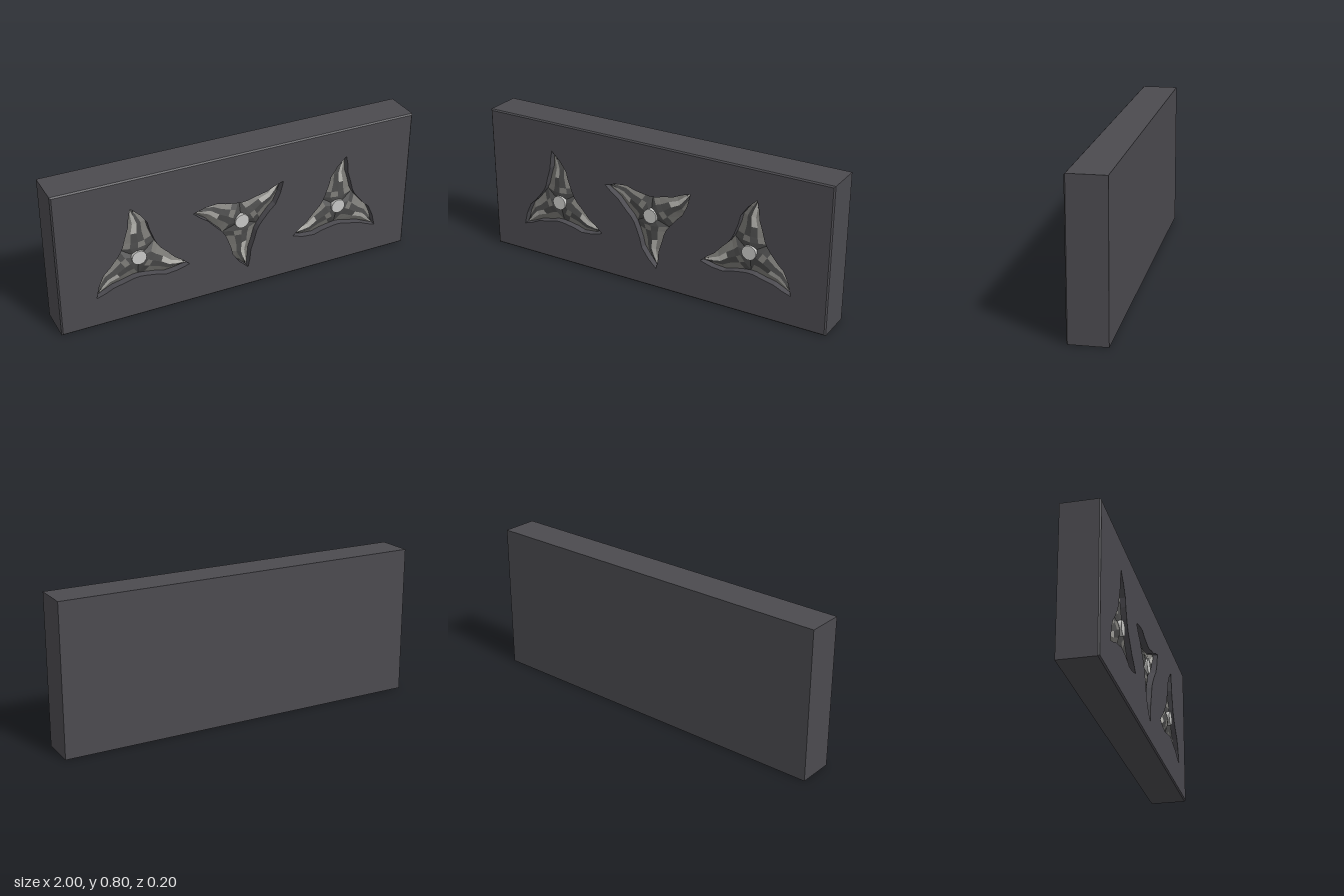
import * as THREE from 'three';

const mat = (name, color, side = THREE.FrontSide) => {
  const m = new THREE.MeshStandardMaterial({ color, side });
  m.name = name;
  return m;
};

// Blade edges from valley to tip: [radius, degrees clockwise of the tip]
const LEADING = [[0.112, -54], [0.118, -38], [0.15, -21], [0.198, -8], [0.246, -4], [0.295, 0]];
const TRAILING = [[0.112, 66], [0.121, 50], [0.158, 30], [0.198, 22], [0.246, 10], [0.295, 0]];
const ACROSS = [0, 0.28, 0.5, 0.72, 1];
const RISE = [0, 0.024, 0.032, 0.024, 0];
const FLOOR = 0.051, RIM = 0.062, FACE = 0.1;

// x, y, first tip angle, mirror sign
const STARS = [[-0.57, 0.345, 97, 1], [0, 0.405, 277, 1], [0.57, 0.345, 97, -1]];

function polar([r, a], tip, mirror) {
  const t = THREE.MathUtils.degToRad(tip - a);
  return new THREE.Vector2(mirror * r * Math.cos(t), r * Math.sin(t));
}

// Closed outline of a three-bladed star
function starOutline([x, y, tip, mirror]) {
  const points = [];
  for (let k = 0; k < 3; k++) {
    const side = [...LEADING, ...TRAILING.slice(1, 5).reverse()];
    for (const p of side) points.push(polar(p, tip - 120 * k, mirror).add(new THREE.Vector2(x, y)));
  }
  return points;
}

// Faceted star surface; triangles are sorted into one group per colour
function starGeometry([, , tip0, mirror]) {
  const bins = [[], [], []]; // dark, grey, light
  const tri = (bin, a, b, c) => {
    const up = (b.x - a.x) * (c.y - a.y) - (b.y - a.y) * (c.x - a.x);
    if (Math.abs(up) < 1e-9) return;
    for (const p of up > 0 ? [a, b, c] : [a, c, b]) bins[bin].push(p.x, p.y, p.z);
  };
  const centre = new THREE.Vector3(0, 0, 0.092);
  for (let k = 0; k < 3; k++) {
    const rows = LEADING.map((lead, i) => {
      const l = polar(lead, tip0 - 120 * k, mirror);
      const r = polar(TRAILING[i], tip0 - 120 * k, mirror);
      return ACROSS.map((t, j) => {
        const p = l.clone().lerp(r, t);
        return new THREE.Vector3(p.x, p.y, RIM + RISE[j] * (1 - 0.1 * i));
      });
    });
    for (let j = 0; j < 4; j++) {
      tri(0, centre, rows[0][j], rows[0][j + 1]);
      for (let i = 0; i < 5; i++) {
        // grey edge bevels, a light streak along the ridge, dark root
        let bin = 0;
        if (j === 0 || (j === 3 && i > 0)) bin = 1;
        if (j === 1 && i > 1) bin = 2;
        if (j === 2 && i === 0) bin = 1;
        const [a, b, c, d] = [rows[i][j], rows[i][j + 1], rows[i + 1][j + 1], rows[i + 1][j]];
        tri(bin, a, b, c);
        tri(bin, a, c, d);
      }
    }
  }
  const g = new THREE.BufferGeometry();
  g.setAttribute('position', new THREE.Float32BufferAttribute(bins.flat(), 3));
  let start = 0;
  bins.forEach((b, i) => {
    g.addGroup(start, b.length / 3, i);
    start += b.length / 3;
  });
  g.computeVertexNormals();
  return g;
}

export function createModel() {
  const group = new THREE.Group();
  group.name = 'starBlock';
  const block = mat('charcoal', 0x4b4a4f);
  const metals = [
    mat('dark steel', 0x4c4c4c, THREE.DoubleSide),
    mat('grey steel', 0x7c7b77, THREE.DoubleSide),
    mat('bright steel', 0xb4b3ae, THREE.DoubleSide),
  ];
  const silver = mat('silver', 0xc8c8c6);
  const add = (name, geometry, material, x, y, z) => {
    const mesh = new THREE.Mesh(geometry, material);
    mesh.name = name;
    mesh.position.set(x, y, z);
    group.add(mesh);
    return mesh;
  };

  // Solid back of the block
  const backDepth = FLOOR + 0.1;
  add('blockBack', new THREE.BoxGeometry(2, 0.8, backDepth), block, 0, 0.4, -0.1 + backDepth / 2);

  // Front plate with star-shaped pockets and a fine chamfer
  const face = new THREE.Shape([[-1, 0], [1, 0], [1, 0.8], [-1, 0.8]].map(p => new THREE.Vector2(...p)));
  for (const s of STARS) face.holes.push(new THREE.Path(starOutline(s)));
  const plate = new THREE.ExtrudeGeometry(face, { depth: FACE - FLOOR, steps: 7, bevelEnabled: false });
  const pos = plate.attributes.position;
  for (let i = 0; i < pos.count; i++) {
    if (pos.getZ(i) < FACE - FLOOR - 0.001) continue;
    pos.setX(i, THREE.MathUtils.clamp(pos.getX(i), -0.993, 0.993));
    pos.setY(i, THREE.MathUtils.clamp(pos.getY(i), 0.007, 0.793));
  }
  plate.computeVertexNormals();
  add('frontPlate', plate, block, 0, 0, FLOOR);

  // Stars set into the pockets, each with a round hub
  for (const s of STARS) {
    add('throwingStar', starGeometry(s), metals, s[0], s[1], 0);
    const hub = new THREE.CylinderGeometry(0.039, 0.039, 0.03, 32);
    hub.rotateX(Math.PI / 2);
    add('starHub', hub, silver, s[0], s[1], 0.087);
  }
  return group;
}
